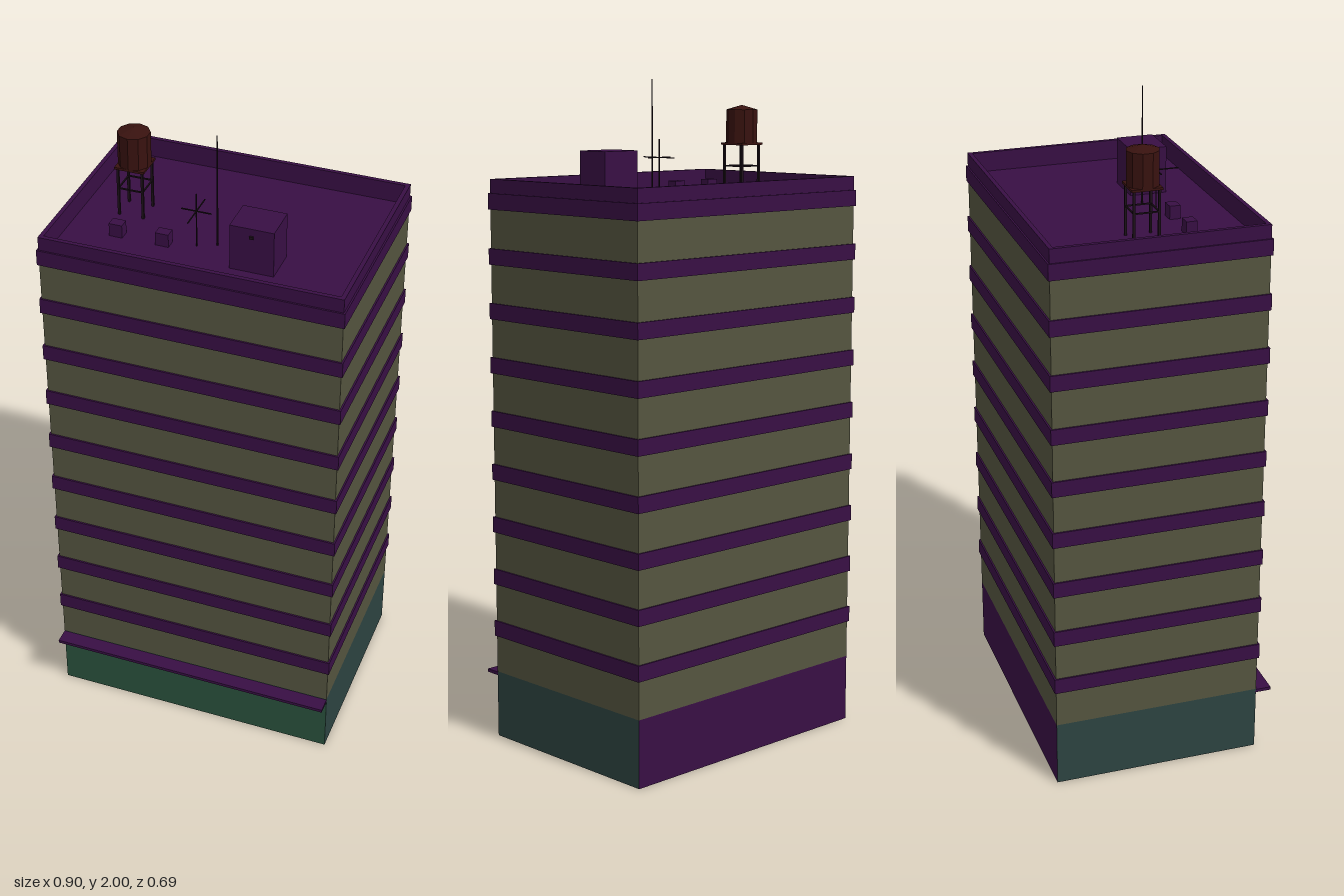
import * as THREE from 'three';

const W = 0.447, BACK = -0.34, FRONT = 0.297, MIDZ = (BACK + FRONT) / 2, ROOF = 1.65;

const mat = (color, extra = {}) => new THREE.MeshStandardMaterial({ color, ...extra });
const purple = mat(0x380f44);
const tan = mat(0x54543f, { side: THREE.DoubleSide });
const green = mat(0x2a523d, { side: THREE.DoubleSide });
const teal = mat(0x2d4341, { side: THREE.DoubleSide });
const purpleWall = mat(0x380f44, { side: THREE.DoubleSide });
const rust = mat(0x38120f, { flatShading: true });
const iron = mat(0x1c1018);

export function createModel() {
  const model = new THREE.Group();
  model.name = 'officeTower';

  const add = (name, geometry, material, x = 0, y = 0, z = 0, parent = model) => {
    const mesh = new THREE.Mesh(geometry, material);
    mesh.name = name;
    mesh.position.set(x, y, z);
    parent.add(mesh);
    return mesh;
  };
  // box given by its centre in plan and its bottom and top
  const block = (name, w, d, y0, y1, x, z, material, parent) =>
    add(name, new THREE.BoxGeometry(w, y1 - y0, d), material, x, (y0 + y1) / 2, z, parent);

  // rectangular frame around the tower: out = overhang, inset = inner offset
  const frame = (name, y0, y1, out, inset) => {
    const rect = (C, e) => new C([
      new THREE.Vector2(-W - e, -FRONT - e), new THREE.Vector2(W + e, -FRONT - e),
      new THREE.Vector2(W + e, -BACK + e), new THREE.Vector2(-W - e, -BACK + e)]);
    const shape = rect(THREE.Shape, out);
    shape.holes.push(rect(THREE.Path, -inset));
    const geo = new THREE.ExtrudeGeometry(shape, { depth: y1 - y0, bevelEnabled: false });
    geo.rotateX(-Math.PI / 2);
    return add(name, geo, purple, 0, y0, 0);
  };

  // four thin walls, open below
  const walls = (name, y0, y1, materials) => {
    const group = new THREE.Group();
    group.name = name;
    const h = y1 - y0, y = (y0 + y1) / 2, depth = FRONT - BACK;
    const sides = [
      ['front', 2 * W, 0, FRONT, 0], ['left', depth, W, MIDZ, Math.PI / 2],
      ['back', 2 * W, 0, BACK, Math.PI], ['right', depth, -W, MIDZ, -Math.PI / 2]];
    sides.forEach(([side, width, x, z, turn], i) => {
      add(side + 'Wall', new THREE.PlaneGeometry(width, h), materials[i], x, y, z, group).rotation.y = turn;
    });
    model.add(group);
  };

  // ground floor, upper floors and storey bands
  walls('groundFloor', 0, 0.205, [green, teal, purpleWall, teal]);
  walls('upperFloors', 0.205, 1.63, [tan, tan, tan, tan]);
  for (let i = 0; i < 9; i++) {
    const y = 0.343 + i * 0.1627;
    frame('storeyBand', y - 0.024, y + 0.024, 0.005, 0);
  }
  block('awning', 2 * W, 0.05, 0.193, 0.203, 0, FRONT + 0.023, purple);

  // parapet and roof deck
  frame('parapet', 1.63, 1.71, 0, 0.013);
  block('roofDeck', 2 * W - 0.01, FRONT - BACK - 0.01, ROOF - 0.01, ROOF, 0, MIDZ, purple);

  // stair house and vents
  block('stairHouse', 0.13, 0.111, ROOF, 1.79, 0.14, 0.116, purple);
  block('stairLamp', 0.012, 0.006, 1.76, 1.768, 0.14, 0.174, iron);
  for (const x of [-0.283, -0.142]) block('roofVent', 0.04, 0.032, ROOF, 1.69, x, 0.116, purple);

  // water tank on a braced stand
  const tank = new THREE.Group();
  tank.name = 'waterTank';
  tank.position.set(-0.284, 0, -0.024);
  model.add(tank);
  add('tankBarrel', new THREE.CylinderGeometry(0.048, 0.048, 0.1, 10), rust, 0, 1.857, 0, tank);
  add('tankLid', new THREE.ConeGeometry(0.048, 0.014, 10), rust, 0, 1.914, 0, tank);
  block('tankPlatform', 0.09, 0.09, 1.8, 1.807, 0, 0, rust, tank);
  for (const s of [-1, 1]) {
    for (const t of [-1, 1]) block('tankLeg', 0.007, 0.007, ROOF, 1.8, s * 0.037, t * 0.037, iron, tank);
    block('tankBrace', 0.074, 0.004, 1.734, 1.738, 0, s * 0.037, iron, tank);
    block('tankBrace', 0.004, 0.074, 1.734, 1.738, s * 0.037, 0, iron, tank);
  }

  // tall mast and small aerial
  add('mast', new THREE.CylinderGeometry(0.0015, 0.003, 2 - ROOF, 6), iron, 0.003, (2 + ROOF) / 2, 0.072);
  const aerial = new THREE.Group();
  aerial.name = 'aerial';
  aerial.position.set(-0.05, 0, 0.097);
  model.add(aerial);
  block('aerialPole', 0.003, 0.003, ROOF, 1.82, 0, 0, iron, aerial);
  block('aerialBoom', 0.003, 0.134, 1.763, 1.766, 0, 0.001, iron, aerial);
  block('aerialBar', 0.09, 0.003, 1.763, 1.766, 0, 0, iron, aerial);

  return model;
}
